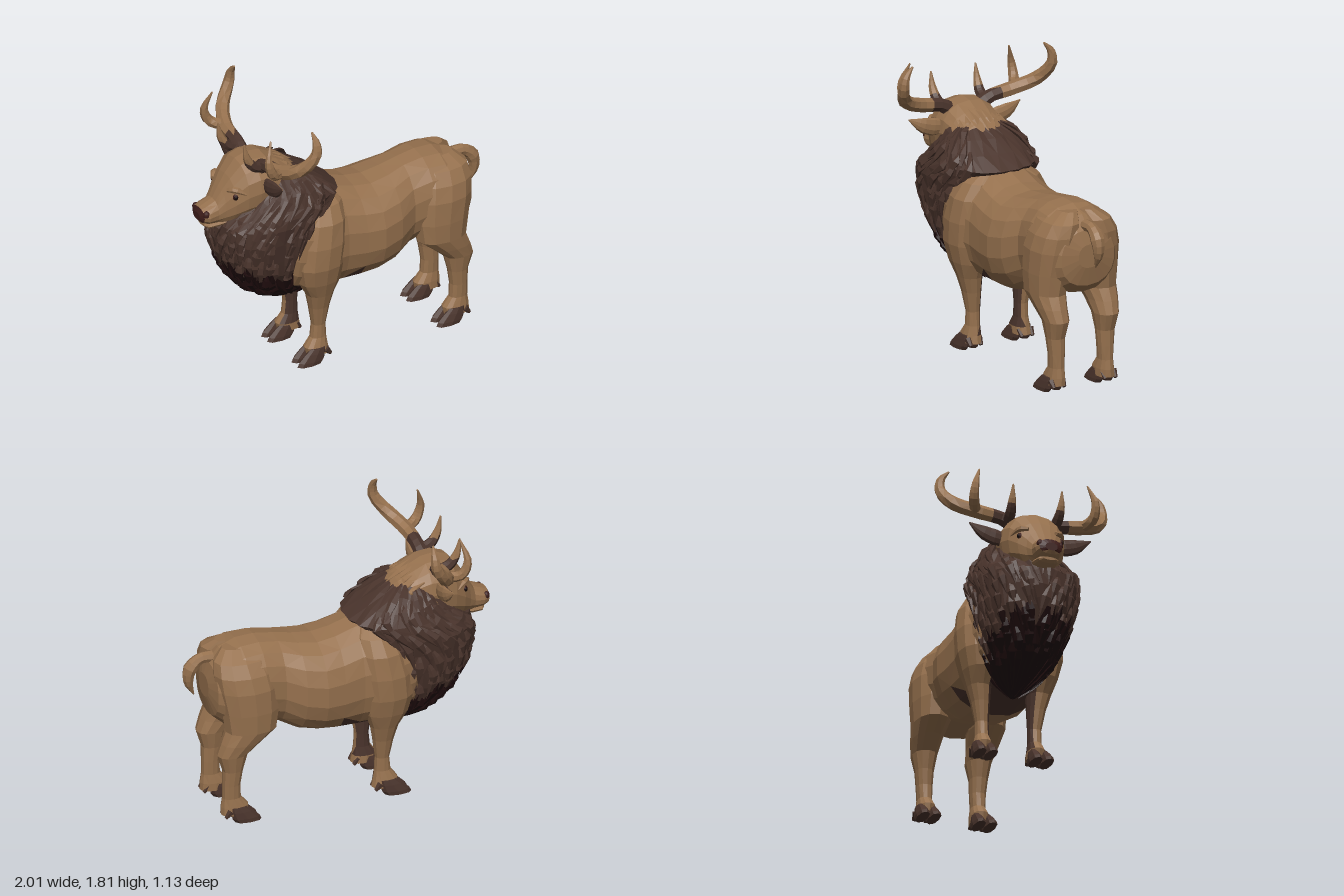
import * as THREE from 'three';

const mat = (name, color) => Object.assign(new THREE.MeshStandardMaterial({ color }), { name });
const V = (x, y, z) => new THREE.Vector3(x, y, z);

let seed = 7;
const rnd = () => (seed = (seed * 16807) % 2147483647) / 2147483647;

// Superellipse point
const sp = (t) => Math.sign(t) * Math.abs(t) ** 0.88;

// Closed solid through a list of rings; returns outward-facing triangles
function skin(rings) {
  const tris = [], n = rings[0].length;
  const mid = (r) => r.reduce((s, p) => s.add(p), V(0, 0, 0)).divideScalar(n);
  for (let k = 0; k < rings.length - 1; k++) {
    for (let i = 0; i < n; i++) {
      const j = (i + 1) % n, [a, b, c, d] = [rings[k][i], rings[k][j], rings[k + 1][j], rings[k + 1][i]];
      if ((i + k) % 2) tris.push([a, b, c], [a, c, d]);
      else tris.push([a, b, d], [b, c, d]);
    }
  }
  const first = rings[0], last = rings[rings.length - 1], m0 = mid(first), m1 = mid(last);
  for (let i = 0; i < n; i++) {
    const j = (i + 1) % n;
    tris.push([m0, first[j], first[i]], [m1, last[i], last[j]]);
  }
  const vol = tris.reduce((s, [a, b, c]) => s + a.dot(b.clone().cross(c)), 0);
  return vol < 0 ? tris.map(([a, b, c]) => [a, c, b]) : tris;
}

// Rows [x, yLow, yHigh, halfWidth] stacked along x
const alongX = (rows, n) => skin(rows.map(([x, y0, y1, w]) => Array.from({ length: n }, (_, i) => {
  const a = (i / n) * Math.PI * 2;
  return V(x, (y0 + y1) / 2 + sp(Math.cos(a)) * (y1 - y0) / 2, sp(Math.sin(a)) * w);
})));

// Rows [y, x0, x1, z0, z1] stacked along y, mirrored by side s
const alongY = (rows, n, s) => skin(rows.map(([y, x0, x1, z0, z1]) => Array.from({ length: n }, (_, i) => {
  const a = (i / n) * Math.PI * 2;
  return V((x0 + x1) / 2 + sp(Math.cos(a)) * (x1 - x0) / 2, y, s * ((z0 + z1) / 2 + sp(Math.sin(a)) * (z1 - z0) / 2));
})));

// Tapered tube along points; flat thins it in the direction of ref
function tube(points, radii, { n = 7, steps = 10, flat = 1, ref = V(1, 0, 0) } = {}) {
  const curve = new THREE.CatmullRomCurve3(points), rings = [];
  for (let k = 0; k <= steps; k++) {
    const t = k / steps, c = curve.getPoint(t), d = curve.getTangent(t);
    const u = d.clone().cross(ref).normalize(), v = u.clone().cross(d);
    const f = t * (radii.length - 1), i = Math.min(Math.floor(f), radii.length - 2);
    const r = THREE.MathUtils.lerp(radii[i], radii[i + 1], f - i);
    rings.push(Array.from({ length: n }, (_, q) => {
      const a = (q / n) * Math.PI * 2;
      return c.clone().addScaledVector(u, Math.cos(a) * r).addScaledVector(v, Math.sin(a) * r * flat);
    }));
  }
  return skin(rings);
}

// Faceted mesh; pick(centre, normal) chooses the material of each face
function build(name, tris, materials, pick = () => 0) {
  const buckets = materials.map(() => []);
  for (const [a, b, c] of tris) {
    const centre = a.clone().add(b).add(c).divideScalar(3);
    const normal = b.clone().sub(a).cross(c.clone().sub(a)).normalize();
    buckets[pick(centre, normal)].push(a, b, c);
  }
  const geo = new THREE.BufferGeometry().setFromPoints(buckets.flat());
  let start = 0;
  buckets.forEach((b, i) => { geo.addGroup(start, b.length, i); start += b.length; });
  geo.computeVertexNormals();
  const mesh = new THREE.Mesh(geo, materials.length > 1 ? materials : materials[0]);
  mesh.name = name;
  return mesh;
}

export function createModel() {
  seed = 7;
  const fur = mat('tan fur', 0x96714e), maneBrown = mat('mane brown', 0x4a342c);
  const deep = mat('deep mane', 0x200d0e), noseMat = mat('nose', 0x3d1d1a), black = mat('eye black', 0x120606);
  const g = new THREE.Group();
  g.name = 'elk';
  const add = (...a) => { const m = build(...a); g.add(m); return m; };
  const ball = (name, m, p, s) => {
    const e = new THREE.Mesh(new THREE.SphereGeometry(1, 10, 7), m);
    e.name = name; e.position.set(...p); e.scale.set(...s); g.add(e);
  };

  // Torso with a dark chest patch underneath
  add('torso', alongX([
    [-0.55, 0.6, 1.2, 0.2], [-0.42, 0.5, 1.2, 0.28], [-0.3, 0.47, 1.2, 0.31], [-0.2, 0.46, 1.19, 0.315],
    [-0.08, 0.455, 1.165, 0.295], [0.05, 0.46, 1.125, 0.305], [0.17, 0.475, 1.108, 0.317], [0.3, 0.505, 1.125, 0.295],
    [0.42, 0.57, 1.15, 0.245], [0.55, 0.62, 1.17, 0.26], [0.67, 0.62, 1.165, 0.27], [0.78, 0.62, 1.12, 0.25],
    [0.85, 0.68, 1.04, 0.19], [0.875, 0.8, 0.95, 0.08],
  ], 18), [fur, maneBrown], (c) => (c.y < 0.56 && c.x < 0.05 ? 1 : 0));

  // Mane surface, rows [y, front x, back x, half width]
  const rows = [
    [0.41, -0.36, -0.3, 0.02], [0.46, -0.47, -0.26, 0.1], [0.52, -0.63, -0.22, 0.17], [0.6, -0.74, -0.2, 0.21],
    [0.7, -0.8, -0.2, 0.25], [0.82, -0.85, -0.2, 0.285], [0.95, -0.88, -0.2, 0.31], [1.06, -0.875, -0.15, 0.325],
    [1.12, -0.83, -0.1, 0.325], [1.17, -0.74, -0.05, 0.31], [1.25, -0.66, -0.15, 0.28], [1.32, -0.61, -0.26, 0.235],
    [1.375, -0.56, -0.36, 0.16],
  ];
  const maneAt = (y, a, out = 0) => {
    y = THREE.MathUtils.clamp(y, 0.41, 1.375);
    const k = Math.min(rows.findIndex((r) => r[0] >= y) || 1, rows.length - 1), A = rows[k - 1], B = rows[k];
    const [, x0, x1, w] = A.map((v, i) => THREE.MathUtils.lerp(v, B[i], (y - A[0]) / (B[0] - A[0])));
    return V((x0 + x1) / 2 + sp(Math.cos(a)) * ((x1 - x0) / 2 + out), y, sp(Math.sin(a)) * (w + out));
  };
  const maneRings = rows.map(([y], k) => Array.from({ length: 36 }, (_, i) =>
    maneAt(y, ((i + k * 0.35) / 36) * Math.PI * 2, -0.012 + (rnd() - 0.5) * 0.022)));
  const locks = skin(maneRings);
  // Hanging locks of hair over the mane
  for (let y = 0.56; y < 1.34; y += 0.085) {
    for (let i = 0; i < 16; i++) {
      const a = Math.PI + (i - 7.5 + rnd() * 0.8 - 0.4) * 0.29, yy = y + (rnd() - 0.5) * 0.07, len = 0.1 + rnd() * 0.05;
      const bend = Math.sign(Math.PI - a) * (0.04 + rnd() * 0.08);
      locks.push(...tube([maneAt(yy + len * 0.6, a - bend, -0.02), maneAt(yy, a, 0.002), maneAt(yy - len, a + bend, 0.004)],
        [0.014, 0.032, 0.003], { n: 5, steps: 4, flat: 0.5, ref: V(Math.cos(a), 0, Math.sin(a)) }));
    }
  }
  add('mane', locks, [maneBrown, deep],
    (c) => (c.y < 0.62 + (-0.42 - c.x) * 0.4 + Math.sin(c.x * 40 + c.z * 30) * 0.03 ? 1 : 0));

  // Head, lower jaw and nose
  add('head', alongX([
    [-1.0, 1.12, 1.17, 0.04], [-0.985, 1.1, 1.2, 0.075], [-0.95, 1.085, 1.215, 0.09], [-0.89, 1.075, 1.24, 0.09],
    [-0.85, 1.065, 1.31, 0.11], [-0.8, 1.07, 1.39, 0.15], [-0.73, 1.08, 1.475, 0.185], [-0.65, 1.09, 1.5, 0.2],
    [-0.56, 1.12, 1.49, 0.2], [-0.48, 1.15, 1.45, 0.195], [-0.38, 1.2, 1.39, 0.17], [-0.32, 1.22, 1.34, 0.1],
  ], 16), [fur, noseMat], (c) => (c.x < -0.975 && c.y > 1.115 ? 1 : 0));
  add('lowerJaw', alongX([
    [-0.965, 1.07, 1.09, 0.04], [-0.945, 1.056, 1.1, 0.068], [-0.88, 1.055, 1.11, 0.078], [-0.78, 1.07, 1.12, 0.09],
  ], 12), [fur]);
  // Fur tufts on the nape
  const nape = [];
  for (let i = -4; i <= 4; i++) {
    const z = i * 0.043, drop = z * z * 2.2;
    nape.push(...tube([V(-0.52, 1.455 - drop, z * 0.9), V(-0.42, 1.405 - drop, z), V(-0.33 - Math.abs(z) * 0.4, 1.355 - drop, z * 1.1)],
      [0.02, 0.03, 0.004], { n: 5, steps: 4, flat: 0.6, ref: V(0, 1, 0) }));
  }
  add('napeFur', nape, [fur]);

  // Tail
  add('tail', tube([V(0.82, 1.06, 0), V(0.9, 1.06, 0), V(0.965, 1.0, 0), V(0.975, 0.91, 0), V(0.94, 0.82, 0)],
    [0.04, 0.035, 0.045, 0.032, 0.004], { ref: V(0, 0, 1), n: 8 }), [fur]);

  const frontLeg = [
    [0.05, -0.32, -0.165, 0.12, 0.235], [0.1, -0.335, -0.175, 0.12, 0.23], [0.16, -0.29, -0.185, 0.13, 0.215],
    [0.25, -0.28, -0.19, 0.13, 0.215], [0.38, -0.305, -0.17, 0.125, 0.24], [0.48, -0.33, -0.15, 0.12, 0.27],
    [0.58, -0.39, -0.11, 0.1, 0.305], [0.7, -0.42, -0.09, 0.08, 0.335], [0.85, -0.41, -0.07, 0.05, 0.34],
    [1.0, -0.37, -0.06, 0, 0.32], [1.1, -0.33, -0.07, 0, 0.26], [1.17, -0.25, -0.12, 0, 0.15],
  ];
  const hindLeg = [
    [0.05, 0.66, 0.83, 0.12, 0.235], [0.1, 0.65, 0.83, 0.12, 0.23], [0.16, 0.7, 0.82, 0.13, 0.22],
    [0.25, 0.705, 0.82, 0.125, 0.225], [0.35, 0.69, 0.82, 0.12, 0.235], [0.46, 0.66, 0.855, 0.1, 0.255],
    [0.54, 0.57, 0.83, 0.09, 0.275], [0.62, 0.47, 0.8, 0.07, 0.29], [0.75, 0.45, 0.82, 0.04, 0.297],
    [0.9, 0.45, 0.85, 0, 0.295], [1.0, 0.47, 0.86, 0, 0.27], [1.08, 0.5, 0.85, 0, 0.22], [1.14, 0.56, 0.78, 0, 0.12],
  ];

  for (const s of [1, -1]) {
    const side = s > 0 ? 'Left' : 'Right', P = (x, y, z) => V(x, y, z * s);
    // Legs, front pair dark on the inner face
    add('frontLeg' + side, alongY(frontLeg, 12, s), [fur, maneBrown], (c, n) => (n.z * s < -0.3 && c.y > 0.1 ? 1 : 0));
    add('hindLeg' + side, alongY(hindLeg, 12, s), [fur]);
    // Cloven hooves: two toes and a rear claw on each foot
    for (const [foot, x] of [['front', -0.41], ['hind', 0.58]]) {
      const toes = [];
      for (const z of [0.112, 0.186]) {
        toes.push(...alongY([[0, x, x + 0.17, z, z + 0.07], [0.025, x + 0.012, x + 0.19, z, z + 0.07],
          [0.07, x + 0.06, x + 0.2, z + 0.006, z + 0.062], [0.1, x + 0.1, x + 0.2, z + 0.012, z + 0.054]], 8, s));
        toes.push(...tube([P(x + 0.2, 0.08, z + 0.035), P(x + 0.235, 0.04, z + 0.035)], [0.024, 0.012], { n: 6, steps: 1, ref: V(0, 0, 1) }));
      }
      add(foot + 'Hoof' + side, toes, [maneBrown]);
    }
    // Eye, brow and nostril
    ball('eye' + side, noseMat, [-0.795, 1.28, 0.132 * s], [0.022, 0.025, 0.018]);
    ball('pupil' + side, black, [-0.802, 1.28, 0.143 * s], [0.012, 0.015, 0.01]);
    add('brow' + side, tube([P(-0.835, 1.32, 0.09), P(-0.8, 1.33, 0.13), P(-0.74, 1.3, 0.17)], [0.012, 0.024, 0.008], { steps: 5, ref: V(0, 1, 0) }), [fur]);
    ball('nostril' + side, noseMat, [-0.968, 1.17, 0.066 * s], [0.022, 0.026, 0.02]);
    // Ear, dark on the hollow forward face
    add('ear' + side, tube([P(-0.61, 1.34, 0.14), P(-0.61, 1.34, 0.22), P(-0.61, 1.365, 0.31), P(-0.62, 1.41, 0.4)],
      [0.035, 0.058, 0.048, 0.004], { n: 10, steps: 8, flat: 0.5 }), [fur, maneBrown], (c, n) => (n.x < -0.45 ? 1 : 0));
    // Antler: main beam and two tines, dark at the base
    add('antler' + side, [
      ...tube([P(-0.62, 1.42, 0.1), P(-0.61, 1.47, 0.17), P(-0.6, 1.5, 0.33), P(-0.54, 1.56, 0.47), P(-0.46, 1.67, 0.53), P(-0.45, 1.75, 0.52), P(-0.455, 1.81, 0.47)],
        [0.055, 0.042, 0.046, 0.044, 0.036, 0.026, 0.006], { steps: 16 }),
      ...tube([P(-0.59, 1.5, 0.34), P(-0.68, 1.53, 0.39), P(-0.715, 1.62, 0.395), P(-0.68, 1.75, 0.355)],
        [0.034, 0.034, 0.026, 0.005], { ref: V(0, 0, 1) }),
      ...tube([P(-0.61, 1.45, 0.15), P(-0.69, 1.48, 0.155), P(-0.735, 1.55, 0.16), P(-0.755, 1.65, 0.16)],
        [0.034, 0.034, 0.025, 0.005], { ref: V(0, 0, 1) }),
    ], [fur, maneBrown], (c) => (Math.abs(c.z) < 0.25 && c.y < 1.52 ? 1 : 0));
  }
  return g;
}
